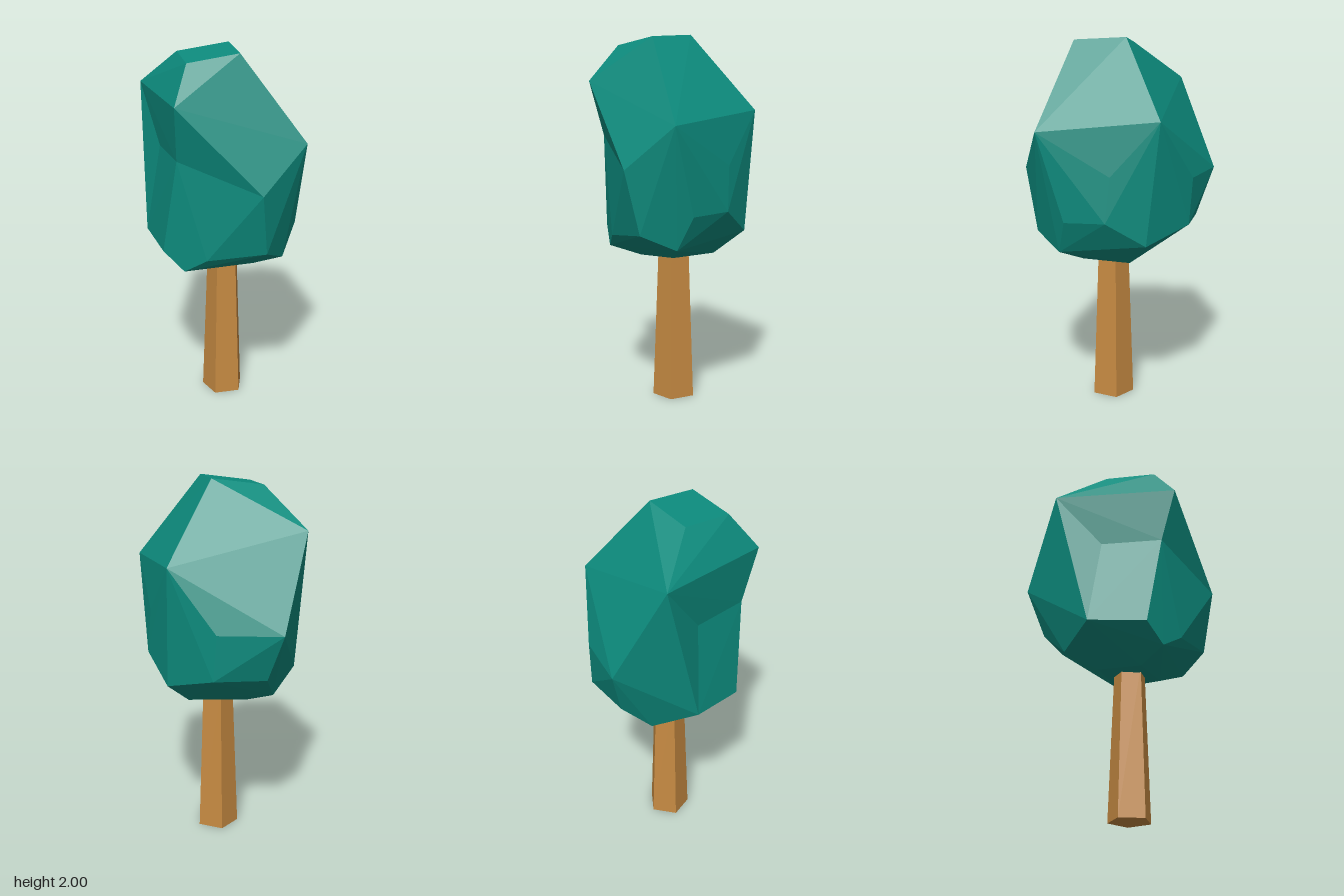
import * as THREE from 'three';
import { ConvexGeometry } from 'three/addons/geometries/ConvexGeometry.js';

const V = (p) => new THREE.Vector3(...p);

// Corners of the faceted crown, from the top down
const crownCorners = [
  [0, 2, -0.105], [0.155, 1.985, 0.125], [-0.07, 1.945, 0.28], [-0.23, 1.96, 0.05],
  [-0.505, 1.76, -0.06], [-0.065, 1.755, 0.44], [0.105, 1.6, -0.44], [0.5, 1.54, 0.06],
  [0.355, 1.31, 0.3], [0.285, 1.32, -0.26], [0.4, 1.31, -0.07],
  [-0.48, 1.28, -0.33], [-0.16, 1.28, -0.44],
  [0.41, 1.07, -0.05], [0.31, 1.08, -0.25], [-0.14, 1.03, -0.435], [-0.38, 1.02, -0.29],
  [-0.4, 0.97, 0.11], [-0.19, 0.95, 0.34], [0.06, 0.93, 0.335], [0.35, 0.97, 0.22],
  [0.14, 0.95, -0.38], [0.37, 0.89, 0.03], [-0.36, 0.88, -0.13], [-0.07, 0.85, 0.335],
  [0.2, 0.82, 0.02], [0.09, 0.82, -0.22], [-0.19, 0.8, -0.05], [-0.07, 0.79, 0.16],
];

// Corners that start outside the hull and are then pushed in to form a hollow
const dents = [
  { from: [-0.37, 1.46, 0.215], to: [-0.31, 1.46, 0.11] },
  { from: [-0.16, 1.46, 0.46], to: [-0.095, 1.46, 0.36] },
];

function crownGeometry() {
  const points = [...crownCorners, ...dents.map((d) => d.from)].map(V);
  const geometry = new ConvexGeometry(points);
  const position = geometry.attributes.position;
  const corner = new THREE.Vector3();
  for (let i = 0; i < position.count; i++) {
    corner.fromBufferAttribute(position, i);
    for (const { from, to } of dents) {
      if (corner.distanceTo(V(from)) < 1e-4) position.setXYZ(i, ...to);
    }
  }
  geometry.computeVertexNormals();
  return geometry;
}

export function createModel() {
  const group = new THREE.Group();
  group.name = 'tree';

  // Tapered five-sided trunk with one corner to the front
  const trunk = new THREE.Mesh(
    new THREE.CylinderGeometry(0.088, 0.119, 0.84, 5),
    new THREE.MeshStandardMaterial({ color: 0xc68a42, flatShading: true }),
  );
  trunk.name = 'trunk';
  trunk.position.set(0.007, 0.42, -0.015);
  group.add(trunk);

  // Faceted crown
  const crown = new THREE.Mesh(
    crownGeometry(),
    new THREE.MeshStandardMaterial({ color: 0x0d8c7e, flatShading: true }),
  );
  crown.name = 'crown';
  group.add(crown);

  return group;
}
